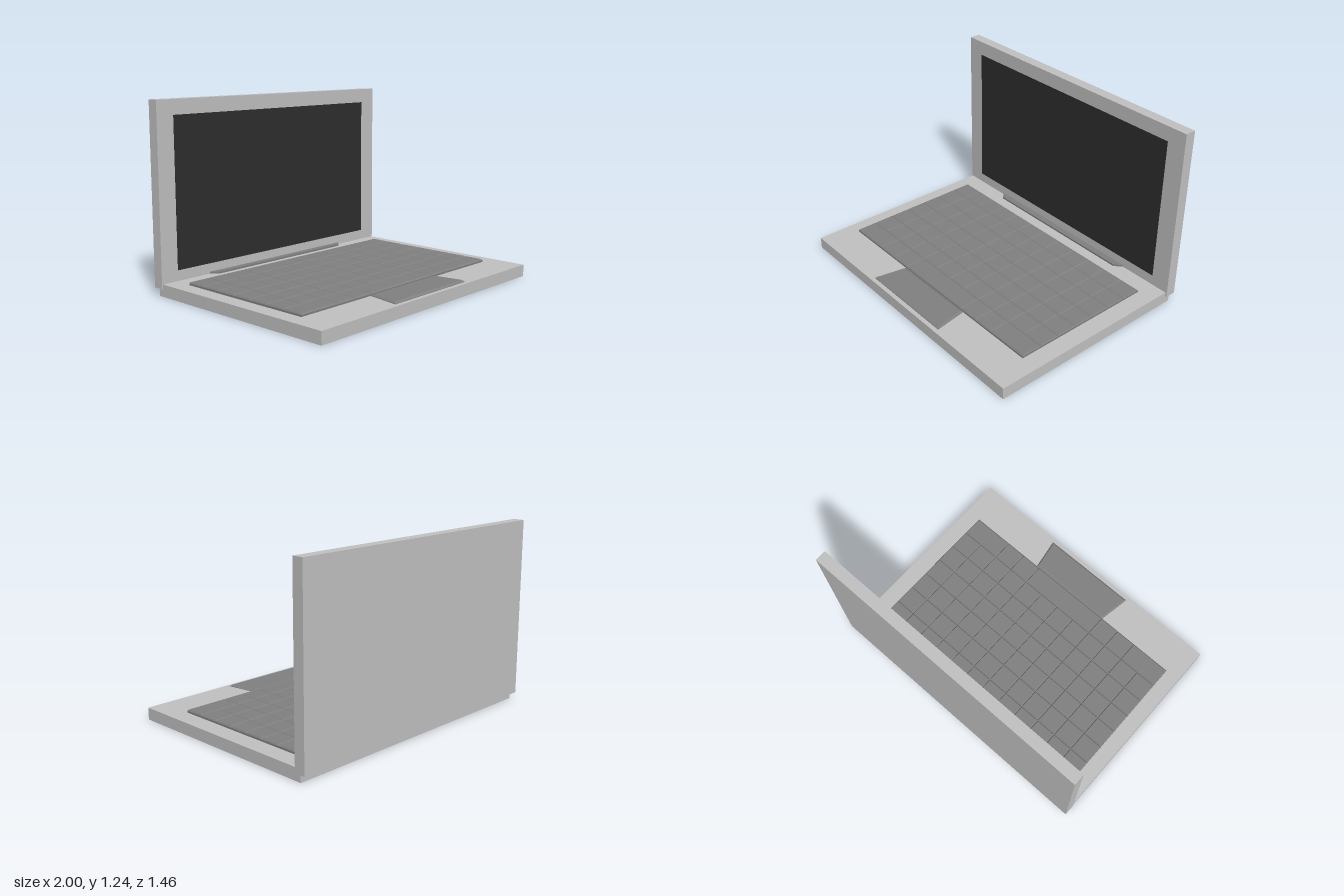
import * as THREE from 'three';

const paint = (name, color) => {
  const m = new THREE.MeshStandardMaterial({ color });
  m.name = name;
  return m;
};

// Solid through stacked four-cornered rings, each { y, z0, z1, back, front }
// with back/front holding the [left, right] x limits of that edge.
function loft(rings) {
  const loops = rings.map(({ y, z0, z1, back, front = back }) => [
    [front[0], y, z1], [front[1], y, z1], [back[1], y, z0], [back[0], y, z0],
  ]);
  const pos = [];
  const quad = (a, b, c, d) => [a, b, c, a, c, d].forEach((p) => pos.push(...p));
  for (let r = 0; r < loops.length - 1; r++) {
    for (let i = 0; i < 4; i++) {
      const j = (i + 1) % 4;
      quad(loops[r][i], loops[r][j], loops[r + 1][j], loops[r + 1][i]);
    }
  }
  quad(...loops[loops.length - 1]);
  quad(...[...loops[0]].reverse());
  const geo = new THREE.BufferGeometry();
  geo.setAttribute('position', new THREE.Float32BufferAttribute(pos, 3));
  geo.computeVertexNormals();
  return geo;
}

export function createModel() {
  const casing = paint('casing silver', 0xc0c0c0);
  const keyGrey = paint('key grey', 0x808080);
  const glass = paint('screen black', 0x2d2d2d);
  const model = new THREE.Group();
  model.name = 'laptop';

  const add = (parent, name, geo, mat) => {
    const mesh = new THREE.Mesh(geo, mat);
    mesh.name = name;
    parent.add(mesh);
    return mesh;
  };
  const box = (name, mat, [x0, x1], [y0, y1], [z0, z1]) =>
    add(model, name, new THREE.BoxGeometry(x1 - x0, y1 - y0, z1 - z0), mat)
      .position.set((x0 + x1) / 2, (y0 + y1) / 2, (z0 + z1) / 2);

  // Casing: flat base and upright lid, with the display on the lid
  box('base', casing, [-0.993, 0.99], [0, 0.08], [-0.69, 0.73]);
  box('lid', casing, [-1, 1], [0.05, 1.235], [-0.73, -0.655]);
  box('screen', glass, [-0.875, 0.87], [0.15, 1.137], [-0.657, -0.653]);

  // Hinge cover in front of the lid
  const cover = { z0: -0.66, z1: -0.61, back: [-0.624, 0.619], front: [-0.575, 0.57] };
  add(model, 'hingeCover', loft([{ ...cover, y: 0.075 }, { ...cover, y: 0.093 }]), keyGrey);

  // Keyboard: twelve columns, seven rows, wide keys in the front row
  const keyboard = new THREE.Group();
  keyboard.name = 'keyboard';
  model.add(keyboard);
  const left = -0.89, back = -0.522, pitchX = 1.76 / 12, pitchZ = 0.998 / 7;
  const plainRow = Array(12).fill(1);
  const frontRow = [2, 1, 1, 4, 1, 1, 2];
  for (let row = 0; row < 7; row++) {
    let column = 0;
    for (const span of row === 6 ? frontRow : plainRow) {
      const x0 = left + column * pitchX, x1 = x0 + span * pitchX;
      const z0 = back + row * pitchZ, z1 = z0 + pitchZ;
      add(keyboard, span > 1 ? 'wideKey' : 'key', loft([
        { y: 0.075, z0, z1, back: [x0, x1] },
        { y: 0.092, z0, z1, back: [x0, x1] },
        { y: 0.1, z0: z0 + 0.008, z1: z1 - 0.008, back: [x0 + 0.006, x1 - 0.006] },
      ]), keyGrey);
      column += span;
    }
  }

  // Touchpad: low bevelled trapezoid, wider toward the user
  add(model, 'touchpad', loft([
    { y: 0.075, z0: 0.47, z1: 0.7, back: [-0.307, 0.305], front: [-0.347, 0.342] },
    { y: 0.083, z0: 0.472, z1: 0.7, back: [-0.307, 0.305], front: [-0.347, 0.342] },
    { y: 0.093, z0: 0.495, z1: 0.687, back: [-0.3, 0.298], front: [-0.335, 0.33] },
  ]), keyGrey);

  return model;
}
